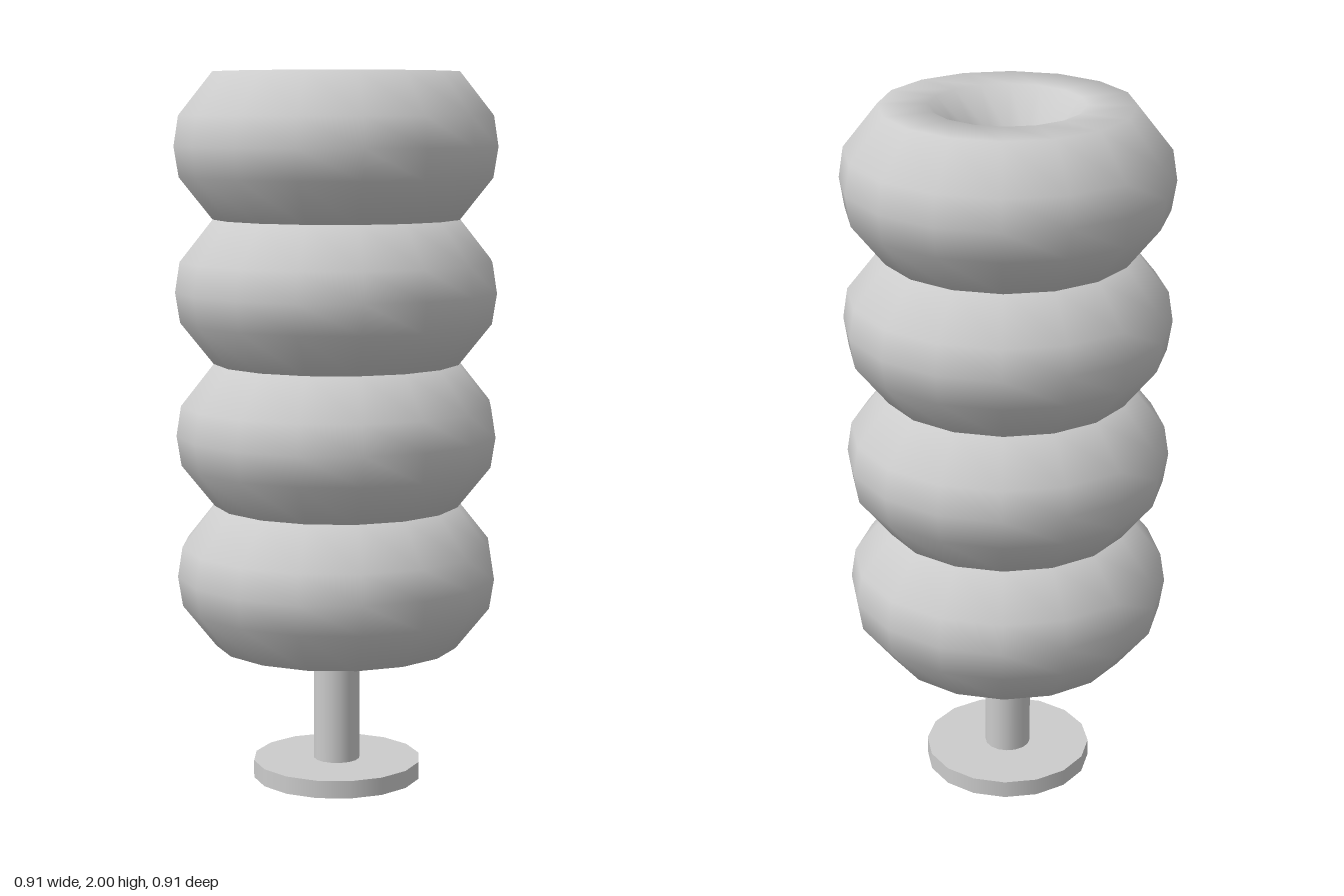
import * as THREE from 'three';

const material = new THREE.MeshStandardMaterial({ color: 0xcccccc });

function add(group, name, geometry, y) {
  const mesh = new THREE.Mesh(geometry, material);
  mesh.name = name;
  mesh.position.y = y;
  group.add(mesh);
}

export function createModel() {
  const group = new THREE.Group();
  group.name = 'ringStack';

  // round foot and the post the rings sit on
  add(group, 'foot', new THREE.CylinderGeometry(0.24, 0.24, 0.05, 16), 0.025);
  add(group, 'post', new THREE.CylinderGeometry(0.066, 0.066, 1.7, 16), 0.89);

  // ring cross-section: a tall octagon with an extra point on its inner and outer side
  const centre = 0.278, rx = 0.175, ry = 0.22;
  const profile = [-180, -157.5, -112.5, -67.5, -22.5, 0, 22.5, 67.5, 112.5, 157.5, 180].map((deg) => {
    const a = THREE.MathUtils.degToRad(deg);
    return new THREE.Vector2(centre + rx * Math.cos(a), ry * Math.sin(a));
  });
  const ring = new THREE.LatheGeometry(profile, 16);

  // four stacked rings
  for (let i = 0; i < 4; i++) add(group, 'ring' + (i + 1), ring, 0.594 + i * 0.401);

  return group;
}
